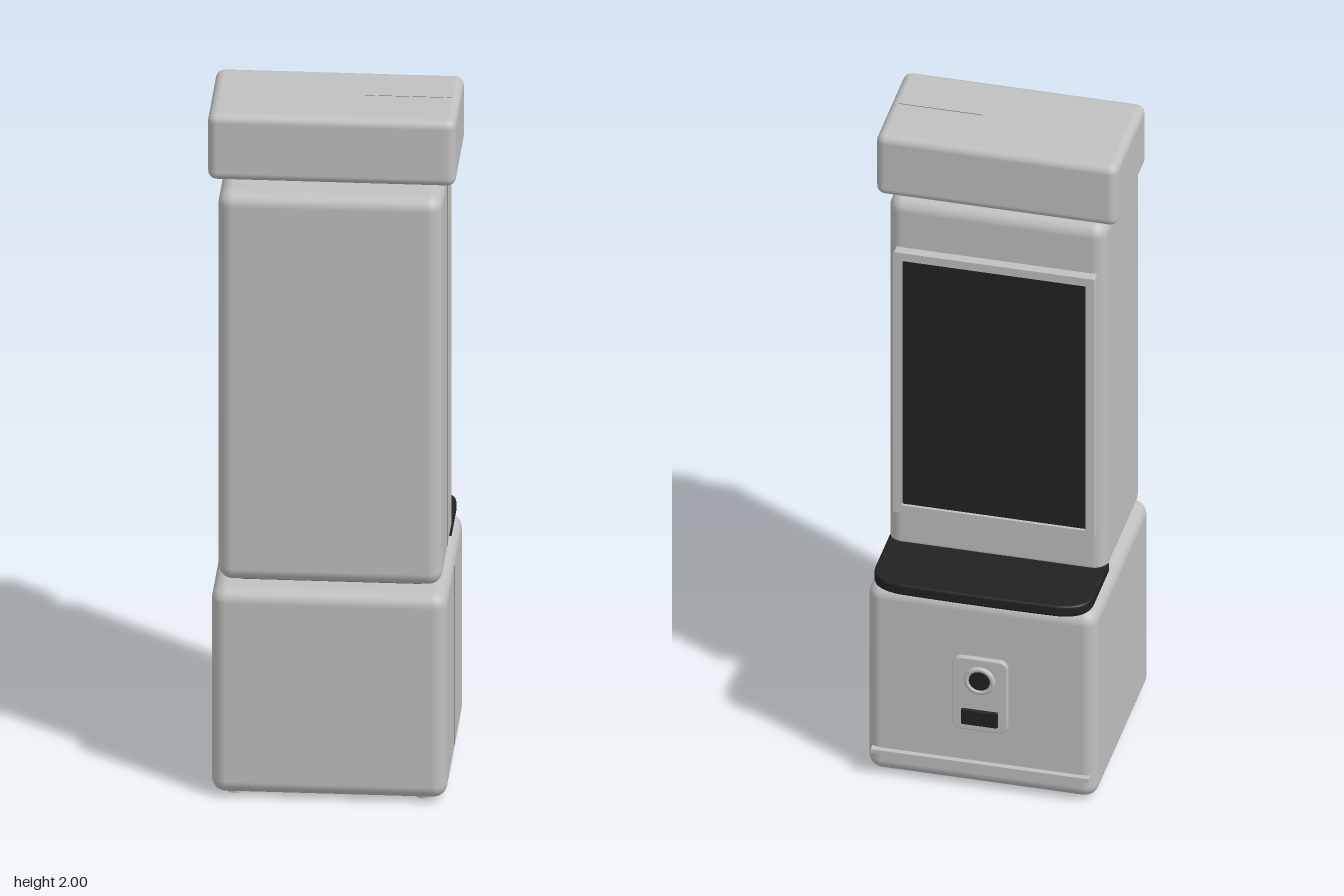
import * as THREE from 'three';
import { RoundedBoxGeometry } from 'three/addons/geometries/RoundedBoxGeometry.js';

const grey = new THREE.MeshStandardMaterial({ color: 0xc0c0c0 });
grey.name = 'light grey shell';
const black = new THREE.MeshStandardMaterial({ color: 0x222222 });
black.name = 'black panel';
const dark = new THREE.MeshStandardMaterial({ color: 0x606060 });
dark.name = 'dark grey seam';

function add(parent, name, geometry, material, x = 0, y = 0, z = 0) {
  const mesh = new THREE.Mesh(geometry, material);
  mesh.name = name;
  mesh.position.set(x, y, z);
  parent.add(mesh);
  return mesh;
}

// Box given by its limits; rounded when r > 0
function block(parent, name, material, [x0, x1], [y0, y1], [z0, z1], r = 0) {
  const w = x1 - x0, h = y1 - y0, d = z1 - z0;
  const geometry = r ? new RoundedBoxGeometry(w, h, d, 4, r) : new THREE.BoxGeometry(w, h, d);
  return add(parent, name, geometry, material, (x0 + x1) / 2, (y0 + y1) / 2, (z0 + z1) / 2);
}

// Rectangle outline with rounded corners, centred on the origin
function roundedRect(target, w, h, r) {
  const x = w / 2, y = h / 2;
  target.moveTo(-x + r, -y);
  target.lineTo(x - r, -y).quadraticCurveTo(x, -y, x, -y + r);
  target.lineTo(x, y - r).quadraticCurveTo(x, y, x - r, y);
  target.lineTo(-x + r, y).quadraticCurveTo(-x, y, -x, y - r);
  target.lineTo(-x, -y + r).quadraticCurveTo(-x, -y, -x + r, -y);
  return target;
}

export function createModel() {
  const kiosk = new THREE.Group();
  kiosk.name = 'kiosk';

  // Stacked cabinets
  block(kiosk, 'baseCabinet', grey, [-0.325, 0.325], [0.01, 0.623], [-0.29, 0.325], 0.04);
  block(kiosk, 'upperCabinet', grey, [-0.309, 0.309], [0.632, 1.795], [-0.117, 0.29], 0.04);
  block(kiosk, 'header', grey, [-0.342, 0.342], [1.802, 2], [-0.12, 0.221], 0.025);

  // Joints between the cabinets
  block(kiosk, 'lowerJoint', dark, [-0.25, 0.25], [0.61, 0.64], [-0.06, 0.24]);
  block(kiosk, 'upperJoint', dark, [-0.2, 0.2], [1.785, 1.81], [-0.07, 0.17]);

  // Door seams on the left side
  const seams = [
    ['baseSeam', 0.3255, [0.05, 0.583], 0.018],
    ['upperSeam', 0.3095, [0.672, 1.755], 0.083],
    ['headerSeam', 0.3425, [1.827, 1.975], 0.05],
  ];
  for (const [name, x, ys, z] of seams) {
    block(kiosk, name, dark, [x - 0.004, x], ys, [z - 0.002, z + 0.002]);
  }
  block(kiosk, 'headerTopSeam', dark, [0.08, 0.318], [1.998, 2.0003], [0.049, 0.051]);

  // Feet
  for (const x of [-0.26, 0.26]) {
    for (const z of [-0.225, 0.26]) {
      add(kiosk, 'foot', new THREE.CylinderGeometry(0.025, 0.025, 0.02, 16), grey, x, 0.01, z);
    }
  }

  // Shelf with rounded outer corners
  const bevel = 0.008;
  const outline = new THREE.Shape();
  outline.moveTo(-0.302, 0.085);
  outline.lineTo(0.302, 0.085).lineTo(0.302, 0.25);
  outline.bezierCurveTo(0.3, 0.295, 0.27, 0.312, 0.22, 0.317);
  outline.quadraticCurveTo(0, 0.323, -0.22, 0.317);
  outline.bezierCurveTo(-0.27, 0.312, -0.3, 0.295, -0.302, 0.25);
  const shelf = add(kiosk, 'shelf', new THREE.ExtrudeGeometry(outline, {
    depth: 0.02, bevelSize: bevel, bevelThickness: bevel, bevelSegments: 3, curveSegments: 12,
  }), black, 0, 0.637, 0);
  shelf.rotation.x = -Math.PI / 2;

  // Screen in a raised frame
  const frame = roundedRect(new THREE.Shape(), 0.57, 0.862, 0.006);
  frame.holes.push(roundedRect(new THREE.Path(), 0.52, 0.81, 0.004));
  add(kiosk, 'screenFrame', new THREE.ExtrudeGeometry(frame, { depth: 0.034, bevelEnabled: false }),
    grey, 0, 1.21, -0.146);
  block(kiosk, 'screen', black, [-0.262, 0.262], [0.803, 1.617], [-0.137, -0.116]);

  // Reader plate with lens and slot
  const reader = new THREE.Group();
  reader.name = 'reader';
  kiosk.add(reader);
  const plate = roundedRect(new THREE.Shape(), 0.15, 0.23, 0.025);
  add(reader, 'readerPlate', new THREE.ExtrudeGeometry(plate, {
    depth: 0.012, bevelSize: 0.003, bevelThickness: 0.003, bevelSegments: 2,
  }), grey, 0, 0.32, -0.302);
  add(reader, 'lensRing', new THREE.TorusGeometry(0.037, 0.008, 10, 32), grey, 0, 0.37, -0.306);
  const lens = add(reader, 'lens', new THREE.CylinderGeometry(0.03, 0.03, 0.006, 24), black, 0, 0.37, -0.307);
  lens.rotation.x = Math.PI / 2;
  block(reader, 'slot', black, [-0.052, 0.052], [0.222, 0.272], [-0.313, -0.3], 0.004);

  // Bumper rail along the bottom of the base
  block(kiosk, 'bumperRail', grey, [-0.309, 0.309], [0.081, 0.093], [-0.306, -0.285]);

  return kiosk;
}
